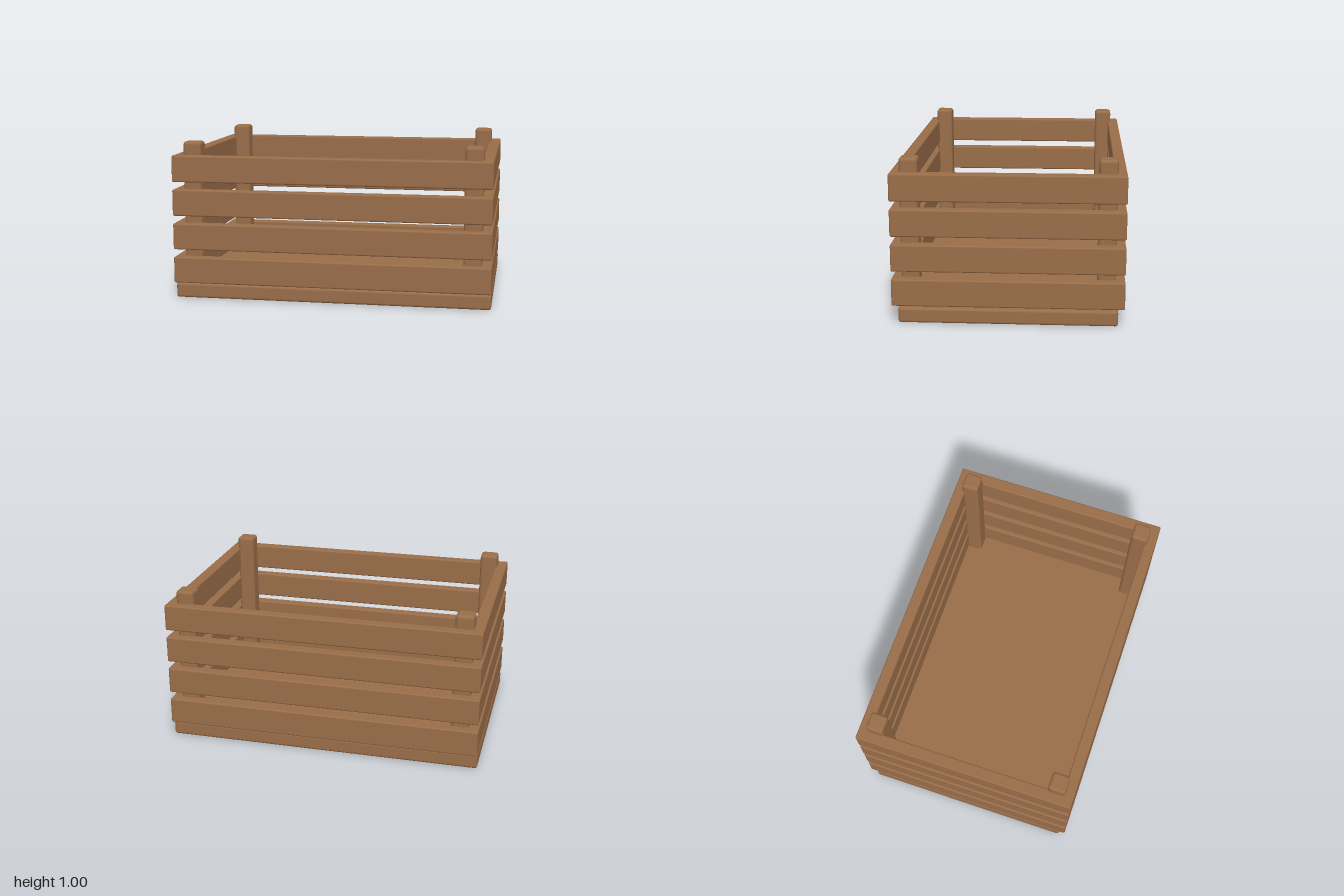
import * as THREE from 'three';
import { RoundedBoxGeometry } from 'three/addons/geometries/RoundedBoxGeometry.js';

export function createModel() {
  const crate = new THREE.Group();
  crate.name = 'crate';
  const wood = new THREE.MeshStandardMaterial({ color: 0x996d49 });
  wood.name = 'brown wood';

  // Softly bevelled board, placed by its centre
  function board(name, size, position, bevel) {
    const mesh = new THREE.Mesh(new RoundedBoxGeometry(...size, 2, bevel), wood);
    mesh.name = name;
    mesh.position.set(...position);
    crate.add(mesh);
  }

  // Floor
  board('floor', [2, 0.094, 1.32], [0, 0.047, 0], 0.016);

  // Four corner posts on the inside
  for (const x of [-1, 1]) {
    for (const z of [-1, 1]) {
      board('cornerPost', [0.115, 0.99, 0.112], [x * 0.882, 0.505, z * 0.589], 0.02);
    }
  }

  // Four rows of slats around the sides
  for (let row = 0; row < 4; row++) {
    const y = 0.188 + row * 0.2153;
    for (const side of [-1, 1]) {
      board('longSlat', [2, 0.167, 0.072], [0, y, side * 0.663], 0.01);
      board('endSlat', [0.076, 0.167, 1.398], [side * 0.962, y, 0], 0.01);
    }
  }
  return crate;
}
